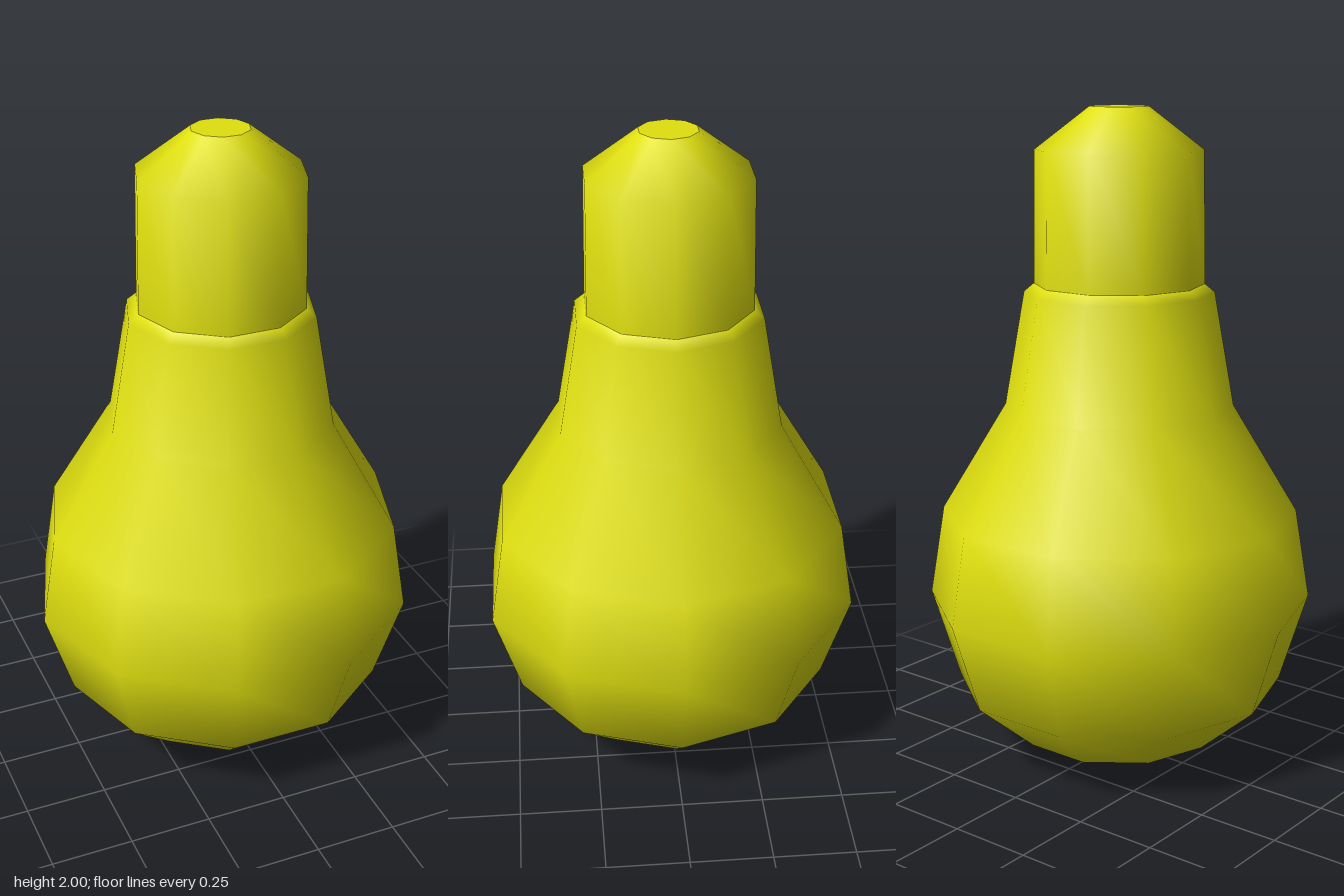
import * as THREE from 'three';

const SIDES = 10;

// Smooth ten-sided turned part from [radius, height] pairs, with corners on the x axis
function turned(name, profile, material) {
  const points = profile.map(([r, y]) => new THREE.Vector2(r, y));
  const mesh = new THREE.Mesh(new THREE.LatheGeometry(points, SIDES, Math.PI / 2), material);
  mesh.name = name;
  return mesh;
}

export function createModel() {
  const group = new THREE.Group();
  group.name = 'lightBulb';
  const yellow = new THREE.MeshStandardMaterial({ color: 0xe0e010 });
  yellow.name = 'bulb yellow';

  // Rounded glass, narrowing to the neck
  group.add(turned('glass', [
    [0, 0], [0.32, 0.07], [0.505, 0.23], [0.59, 0.505],
    [0.545, 0.78], [0.347, 1.11], [0.286, 1.455], [0.256, 1.48],
  ], yellow));

  // Socket sleeve with a tapered shoulder
  group.add(turned('socket', [[0.256, 1.48], [0.25, 1.875], [0.087, 2]], yellow));

  // Flat contact at the tip
  const contact = new THREE.Mesh(new THREE.CircleGeometry(0.087, SIDES), yellow);
  contact.rotation.x = -Math.PI / 2;
  contact.position.y = 2;
  contact.name = 'contact';
  group.add(contact);

  return group;
}
